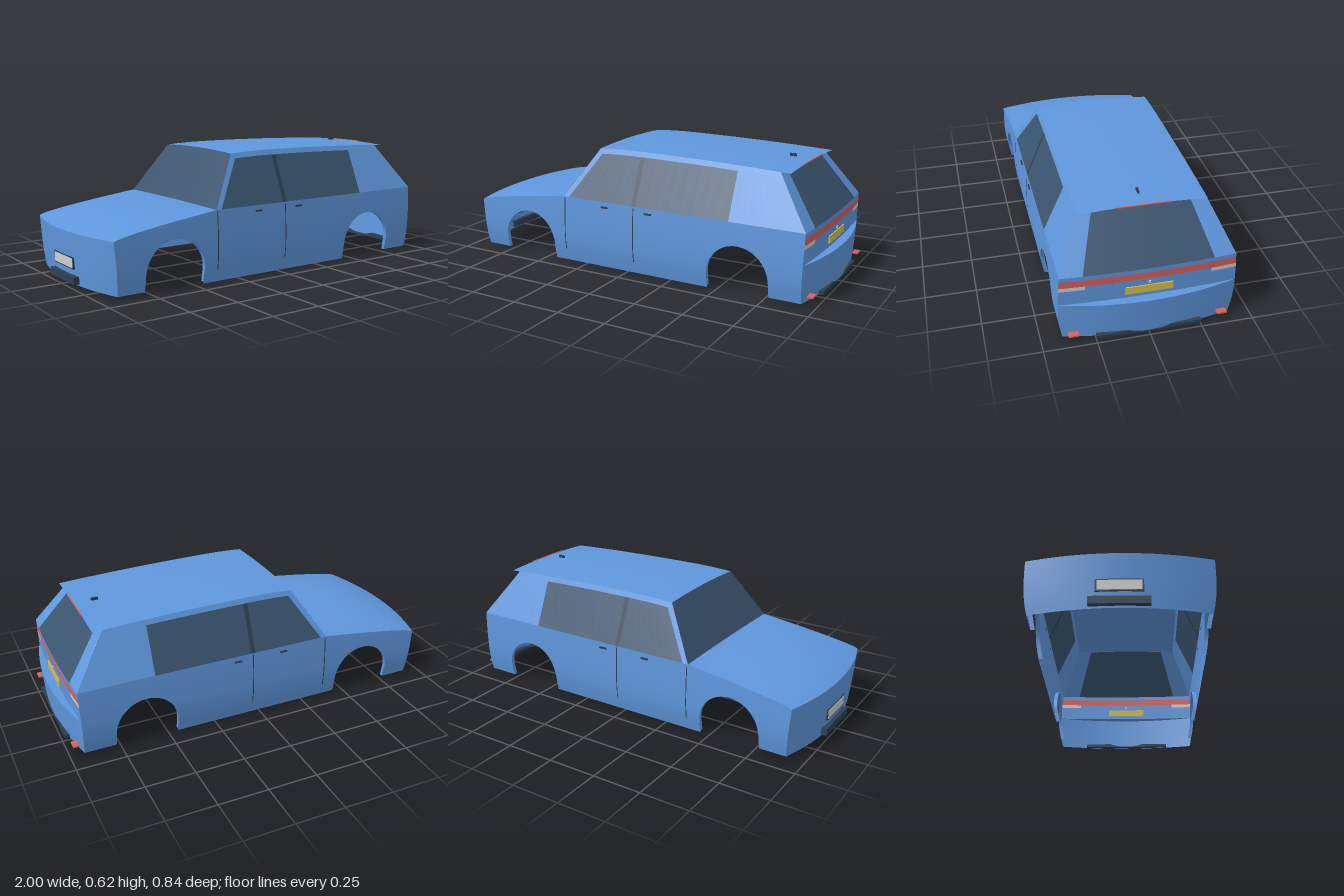
import * as THREE from 'three';

const lerp = THREE.MathUtils.lerp;
const BELT = 0.352, W = 0.3; // belt line height, roof half width

function material(name, color) {
  const m = new THREE.MeshStandardMaterial({ color, side: THREE.DoubleSide });
  m.name = name;
  return m;
}

// body section rules
const halfW = y => 0.418 - (y < 0.16 ? 0.8 : 0.22) * (y - 0.16) ** 2;
const frontX = y => -0.91 - 0.02 * (y - 0.01) / 0.255;
const rearX = y => 0.93 + 0.012 * y / BELT;
const hoodEdge = u => 0.265 + (BELT - 0.265) * Math.pow(Math.max(u, 0), 0.75);
const roofY = (x, t) => 0.62 - (x < 0 ? 0.16 : 0.03) * x * x - 0.01 * t * t;
const sideTop = x => (x < -0.38 ? hoodEdge((x + 0.93) / 0.55) : BELT);

export function createModel() {
  const car = new THREE.Group();
  car.name = 'car';
  const paint = material('blue paint', 0x5f97dd);
  const glass = material('dark glass', 0x3b5570);
  const trim = material('dark trim', 0x2c4052);
  const red = material('red lamp', 0xd9605c);
  const white = material('white lamp', 0xcfcfcf);
  const yellow = material('yellow plate', 0xd4be48);

  const add = (name, geo, mat) => {
    const m = new THREE.Mesh(geo, mat);
    m.name = name;
    car.add(m);
    return m;
  };
  // curved sheet: fn maps u, v in 0..1 to a point
  const sheet = (name, mat, nu, nv, fn) => {
    const g = new THREE.PlaneGeometry(1, 1, nu, nv), p = g.attributes.position;
    for (let i = 0; i < p.count; i++) p.setXYZ(i, ...fn(p.getX(i) + 0.5, p.getY(i) + 0.5));
    g.computeVertexNormals();
    return add(name, g, mat);
  };
  const box = (name, mat, w, h, d, x, y, z) =>
    add(name, new THREE.BoxGeometry(w, h, d), mat).position.set(x, y, z);

  for (const s of [1, -1]) {
    // lower side panels between and beside the wheel arches
    const panel = (x0, x1, bottom) => sheet('lowerSide', paint, 8, 8, (u, v) => {
      const nx = lerp(x0, x1, u), y = lerp(bottom, sideTop(nx), v);
      let x = nx;
      if (x0 === -0.93) x += (frontX(y) + 0.93) * (1 - u);
      if (x1 === 0.942) x += (rearX(y) - 0.942) * u;
      return [x, y, s * halfW(y)];
    });
    panel(-0.93, -0.77, 0.01);
    panel(-0.45, -0.38, 0);
    panel(-0.38, 0.45, 0);
    panel(0.77, 0.942, 0.01);

    for (const c of [-0.61, 0.61]) {
      sheet('archPanel', paint, 24, 6, (u, v) => {
        const a = Math.PI * u, x = c - 0.16 * Math.cos(a);
        const y = lerp(0.08 + 0.16 * Math.sin(a), sideTop(x), v);
        return [x, y, s * halfW(y)];
      });
      sheet('archLip', paint, 26, 1, (u, v) => {
        const i = Math.round(u * 26), a = Math.PI * THREE.MathUtils.clamp((i - 1) / 24, 0, 1);
        const y = i === 0 || i === 26 ? 0.01 : 0.08 + 0.16 * Math.sin(a);
        return [c - 0.16 * Math.cos(a), y, s * (halfW(y) - 0.02 * v)];
      });
    }

    // upper side: pillars, frame and windows as one grid of cells
    const low = [-0.38, -0.35, 0.028, 0.052, 0.56, 0.942];
    const high = [-0.22, -0.185, 0.028, 0.052, 0.56, 0.77];
    const cell = (name, mat, i, v0, v1) => sheet(name, mat, 8, 1, (u, v) => {
      const k = lerp(v0, v1, v);
      const x = lerp(lerp(low[i], low[i + 1], u), lerp(high[i], high[i + 1], u), k);
      return [x, lerp(BELT, roofY(x, 1), k), s * lerp(halfW(BELT), W, k)];
    });
    for (let i = 0; i < 5; i++) {
      const open = i > 0 && i < 4;
      cell(i === 2 ? 'centrePillar' : open ? 'sideWindow' : 'pillar', i === 2 ? trim : open ? glass : paint, i, 0, 0.9);
      cell('roofRail', paint, i, 0.9, 1);
    }

    // door seams and handles
    for (const x of [-0.375, 0.04]) sheet('doorSeam', trim, 1, 10, (u, v) => {
      const y = lerp(0.06, 0.345, v);
      return [x + (u - 0.5) * 0.005, y, s * (halfW(y) + 0.001)];
    });
    for (const x of [-0.13, 0.125]) box('doorHandle', trim, 0.04, 0.008, 0.008, x, 0.325, s * 0.415);

    box('rearReflector', red, 0.03, 0.008, 0.048, 0.963, 0.04, s * 0.354);
  }

  // bonnet, front panel, windscreen, roof
  sheet('bonnet', paint, 20, 20, (u, v) => {
    const t = 2 * v - 1, b = 1 - t * t, e = hoodEdge(u);
    const mid = 0.265 + 0.091 * (1 - Math.pow(1 - u, 2.8));
    return [lerp(-0.93 - 0.065 * b, -0.38, u), lerp(e, mid, b), t * halfW(e)];
  });
  sheet('frontPanel', paint, 20, 6, (u, v) => {
    const t = 2 * u - 1, y = lerp(0.01, 0.265, v);
    return [frontX(y) - 0.065 * (1 - t * t), y, t * halfW(y)];
  });
  sheet('windscreen', glass, 16, 2, (u, v) => {
    const t = 2 * u - 1;
    return [lerp(-0.38, -0.22, v), lerp(BELT + 0.004 * (1 - t * t), roofY(-0.22, t), v), t * lerp(halfW(BELT), W, v)];
  });
  sheet('roof', paint, 24, 12, (u, v) => {
    const x = lerp(-0.22, 0.82, u), t = 2 * v - 1;
    return [x, roofY(x, t), t * W];
  });

  // front plate and lower grille
  box('frontPlateFrame', trim, 0.012, 0.058, 0.21, -0.98, 0.115, 0);
  box('frontPlate', white, 0.008, 0.046, 0.195, -0.984, 0.115, 0);
  box('frontGrille', trim, 0.045, 0.036, 0.27, -0.976, 0.038, 0);

  // rear bumper with its ledge
  const bumperX = (y, t) => rearX(y) + (0.05 + 0.055 * y) * (1 - t * t);
  const rear = (y, t) => rearX(y) + 0.016 * (1 - t * t);
  sheet('rearBumper', paint, 20, 6, (u, v) => {
    const t = 2 * u - 1, y = lerp(0.01, 0.2, v);
    return [bumperX(y, t), y, t * halfW(y)];
  });
  sheet('bumperLedge', paint, 20, 1, (u, v) => {
    const t = 2 * u - 1;
    return [lerp(bumperX(0.2, t), rear(0.2, t), v), 0.2, t * halfW(0.2)];
  });

  // tail panel with lamps, built in bands
  const band = (name, mat, y0, y1, t0 = -1, t1 = 1) => sheet(name, mat, 16, 2, (u, v) => {
    const t = lerp(t0, t1, u), y = lerp(y0, y1, v);
    return [rear(y, t), y, t * halfW(y)];
  });
  band('tailPanel', paint, 0.2, 0.275);
  band('tailPanel', paint, 0.275, 0.295, -0.71, 0.71);
  band('reverseLamp', white, 0.275, 0.295, -1, -0.71);
  band('reverseLamp', white, 0.275, 0.295, 0.71, 1);
  band('tailLampBar', red, 0.295, 0.33);
  band('tailPanel', paint, 0.33, BELT);
  box('rearPlate', yellow, 0.008, 0.038, 0.222, 0.956, 0.241, 0);
  box('tailgateLock', white, 0.008, 0.012, 0.01, 0.957, 0.277, 0);

  // tailgate with rear window
  const gate = (name, mat, t0, t1, v0, v1) => sheet(name, mat, 12, 2, (u, v) => {
    const k = lerp(v0, v1, v), t = lerp(t0, t1, u), b = 1 - t * t;
    return [lerp(0.942, 0.77, k) + 0.016 * b * (1 - k), lerp(BELT, roofY(0.77, t), k), t * lerp(halfW(BELT), W, k)];
  });
  gate('rearWindow', glass, -0.745, 0.745, 0, 0.98);
  gate('tailgateTop', paint, -0.745, 0.745, 0.98, 1);
  gate('rearPillar', paint, -1, -0.745, 0, 1);
  gate('rearPillar', paint, 0.745, 1, 0, 1);

  // roof details
  box('highBrakeLamp', red, 0.006, 0.005, 0.25, 0.82, 0.599, 0);
  box('antenna', trim, 0.035, 0.014, 0.008, 0.718, 0.612, 0);

  // rear diffuser with a dipped centre
  const d = new THREE.Shape();
  d.moveTo(-0.25, 0.012);
  d.lineTo(0.25, 0.012);
  d.lineTo(0.25, 0.03);
  d.lineTo(0.1, 0.03);
  d.quadraticCurveTo(0.06, 0.014, 0.02, 0.014);
  d.lineTo(-0.02, 0.014);
  d.quadraticCurveTo(-0.06, 0.014, -0.1, 0.03);
  d.lineTo(-0.25, 0.03);
  const dg = new THREE.ExtrudeGeometry(d, { depth: 0.04, bevelEnabled: false });
  dg.rotateY(Math.PI / 2);
  add('rearDiffuser', dg, trim).position.x = 0.947;

  return car;
}
